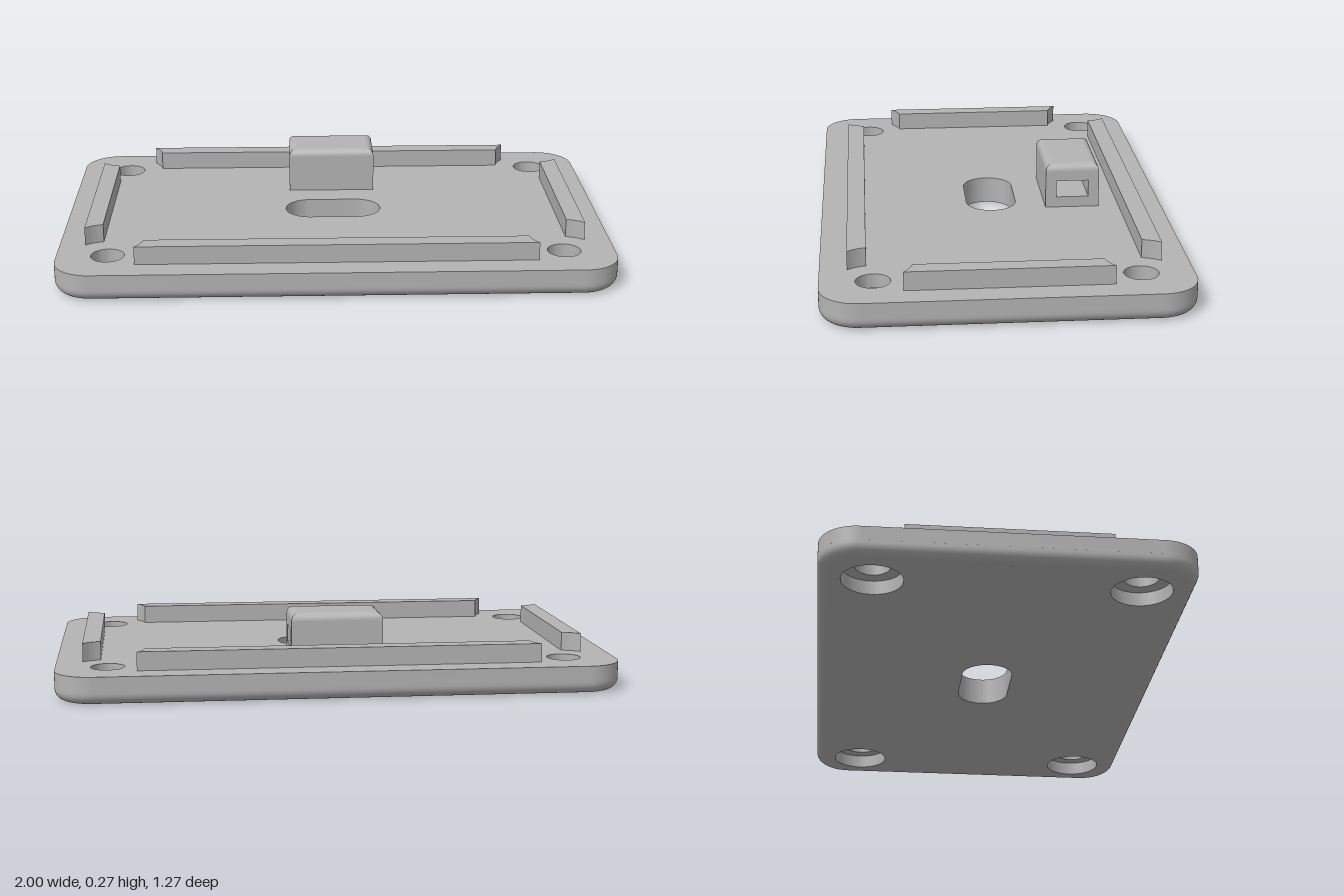
import * as THREE from 'three';
import { toCreasedNormals } from 'three/addons/utils/BufferGeometryUtils.js';

const W = 1, D = 0.635;            // half width and half depth of the plate
const TOP = 0.1, MID = 0.05;       // plate top, counterbore ceiling
const R = 0.135, FILLET = 0.04;    // corner radius, bottom edge fillet
const HX = 0.817, HZ = 0.453;      // screw hole centres
const CLEAR = 0.134;               // clearance of the rail ends around the holes

const gray = new THREE.MeshStandardMaterial({ color: 0xb4b4b4 });
gray.name = 'gray';

function addMesh(parent, name, geometry) {
  const mesh = new THREE.Mesh(geometry, gray);
  mesh.name = name;
  parent.add(mesh);
  return mesh;
}

// Extrude a plan shape upwards from y0 to y1
function slab(shape, y0, y1) {
  const g = new THREE.ExtrudeGeometry(shape, { depth: y1 - y0, bevelEnabled: false, curveSegments: 24 });
  g.rotateX(-Math.PI / 2).translate(0, y0, 0);
  return toCreasedNormals(g, 0.5);
}

// Rounded plate outline with four screw holes and the central slot
function plateShape(inset, holeRadius) {
  const w = W - inset, d = D - inset, r = R - inset, q = Math.PI / 2;
  const shape = new THREE.Shape();
  shape.absarc(w - r, d - r, r, 0, q);
  shape.absarc(r - w, d - r, r, q, 2 * q);
  shape.absarc(r - w, r - d, r, 2 * q, 3 * q);
  shape.absarc(w - r, r - d, r, 3 * q, 4 * q);
  for (const x of [-HX, HX]) for (const z of [-HZ, HZ]) {
    shape.holes.push(new THREE.Path().absarc(x, z, holeRadius, 0, Math.PI * 2, true));
  }
  const slot = new THREE.Path();
  const half = 0.18, sr = 0.093;
  slot.absarc(half - sr, 0, sr, -q, q);
  slot.absarc(sr - half, 0, sr, q, 3 * q);
  shape.holes.push(slot);
  return shape;
}

// Filleted lower edge: a lathe pulled apart into a rounded rectangle
function lowerEdge() {
  const profile = [];
  for (let i = 0; i <= 8; i++) {
    const a = i / 8 * Math.PI / 2;
    profile.push(new THREE.Vector2(R - FILLET + FILLET * Math.sin(a), FILLET - FILLET * Math.cos(a)));
  }
  profile.push(new THREE.Vector2(R, MID));
  const n = 96;
  const g = new THREE.LatheGeometry(profile, n, Math.PI / n);
  const p = g.attributes.position;
  for (let i = 0; i < p.count; i++) {
    p.setX(i, p.getX(i) + Math.sign(p.getX(i)) * (W - R));
    p.setZ(i, p.getZ(i) + Math.sign(p.getZ(i)) * (D - R));
  }
  return g;
}

// Rail whose ends are hollowed around the neighbouring screw holes
function rail(along, across, inner, outer) {
  const n = 8, right = [];
  for (let i = 0; i <= n; i++) {
    const t = inner + (outer - inner) * i / n;
    right.push(new THREE.Vector2(along - Math.sqrt(CLEAR ** 2 - (t - across) ** 2), -t));
  }
  const left = right.map(v => new THREE.Vector2(-v.x, v.y)).reverse();
  return slab(new THREE.Shape([...right, ...left]), TOP, 0.167);
}

// Strap loop: tunnelled body under a cap with rounded top edges
function strapLoop() {
  const group = new THREE.Group();
  group.name = 'strapLoop';
  const hw = 0.165, hd = 0.1, r = 0.027, top = 0.267, shoulder = top - r;

  const side = new THREE.Shape([[-hd, TOP], [hd, TOP], [hd, shoulder], [-hd, shoulder]]
    .map(([x, y]) => new THREE.Vector2(x, y)));
  side.holes.push(new THREE.Path([[-0.06, 0.14], [-0.06, 0.203], [0.06, 0.203], [0.06, 0.14]]
    .map(([x, y]) => new THREE.Vector2(x, y))));
  const body = new THREE.ExtrudeGeometry(side, { depth: 2 * hw, bevelEnabled: false });
  body.translate(0, 0, -hw).rotateY(Math.PI / 2);
  addMesh(group, 'strapLoopBody', body);

  const cap = new THREE.BoxGeometry(2 * hw, 1, 2 * hd, 1, 8, 1);
  const p = cap.attributes.position;
  for (let i = 0; i < p.count; i++) {
    const a = (p.getY(i) + 0.5) * Math.PI / 2;
    const inset = r * (1 - Math.cos(a));
    p.setXYZ(i, Math.sign(p.getX(i)) * (hw - inset), shoulder + r * Math.sin(a),
      Math.sign(p.getZ(i)) * (hd - inset));
  }
  cap.computeVertexNormals();
  addMesh(group, 'strapLoopCap', cap);
  group.position.z = -0.3;
  return group;
}

export function createModel() {
  const model = new THREE.Group();
  model.name = 'mountingPlate';

  // Plate: narrow holes above, wide counterbores below
  addMesh(model, 'plateUpper', slab(plateShape(0, 0.06), MID, TOP));
  addMesh(model, 'plateLower', slab(plateShape(FILLET, 0.105), 0, MID));
  addMesh(model, 'plateLowerEdge', lowerEdge());

  // Rails along the four sides
  const longRail = rail(HX, HZ, 0.475, 0.54);
  const shortRail = rail(HZ, HX, 0.843, 0.907);
  addMesh(model, 'frontRail', longRail);
  addMesh(model, 'backRail', longRail).rotation.y = Math.PI;
  addMesh(model, 'leftRail', shortRail).rotation.y = Math.PI / 2;
  addMesh(model, 'rightRail', shortRail).rotation.y = -Math.PI / 2;

  model.add(strapLoop());
  return model;
}
